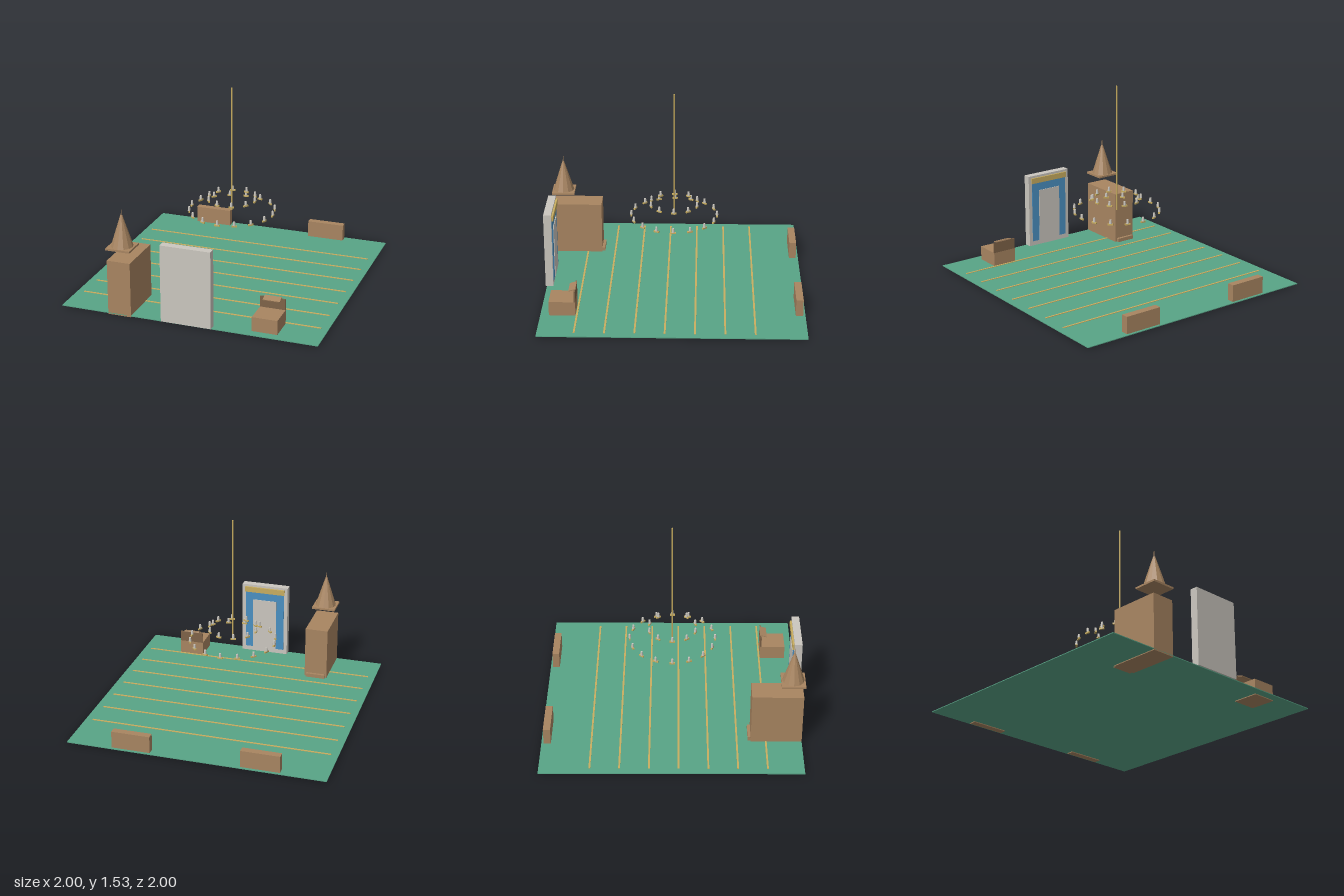
import * as THREE from 'three';

const mat = (name, color, opts = {}) => {
  const m = new THREE.MeshStandardMaterial({ color, ...opts });
  m.name = name;
  return m;
};

export function createModel() {
  const green = mat('green floor', 0x58a486);
  const wood = mat('wood brown', 0xa88561);
  const darkWood = mat('dark wood', 0x7f6348);
  const woodFlat = wood.clone();
  woodFlat.flatShading = true;
  const stone = mat('pale stone', 0xcbc7bf);
  const gold = mat('gold', 0xc9ae60);
  const blue = mat('blue', 0x4a90c2);

  const root = new THREE.Group();
  root.name = 'hall';

  const add = (name, geometry, material, x, y, z, parent = root) => {
    const mesh = new THREE.Mesh(geometry, material);
    mesh.name = name;
    mesh.position.set(x, y, z);
    parent.add(mesh);
    return mesh;
  };
  // box given by its minimum and maximum on each axis
  const box = (name, material, [x0, x1], [y0, y1], [z0, z1], parent = root) =>
    add(name, new THREE.BoxGeometry(x1 - x0, y1 - y0, z1 - z0), material,
      (x0 + x1) / 2, (y0 + y1) / 2, (z0 + z1) / 2, parent);
  const group = (name) => {
    const g = new THREE.Group();
    g.name = name;
    root.add(g);
    return g;
  };

  // floor with seven gold stripes
  box('floor', green, [-1, 1], [0.006, 0.012], [-1, 0.99]);
  for (let i = 0; i < 7; i++) {
    const z = -0.618 + i * 0.2222;
    box('floorStripe', gold, [-0.945, 0.945], [0.012, 0.016], [z - 0.007, z + 0.007]);
  }

  // two low cabinets along the back
  for (const x of [-0.5, 0.497]) {
    box('backCabinet', wood, [x - 0.15, x + 0.15], [0, 0.145], [-0.982, -0.927]);
  }

  // pulpit with step and floating canopy
  const pulpit = group('pulpit');
  box('pulpitBody', wood, [-0.62, -0.437], [0, 0.43], [0.6, 0.99], pulpit);
  box('pulpitStep', wood, [-0.607, -0.452], [0, 0.042], [0.577, 0.6], pulpit);
  box('canopyPlate', wood, [-0.624, -0.434], [0.515, 0.53], [0.818, 1], pulpit);
  add('canopyCone', new THREE.CylinderGeometry(0.008, 0.084, 0.24, 12), woodFlat,
    -0.529, 0.65, 0.909, pulpit);
  add('canopySpire', new THREE.CylinderGeometry(0.002, 0.004, 0.045, 8), wood,
    -0.529, 0.7925, 0.909, pulpit);

  // tall screen, decorated on its inner side
  const screen = group('screen');
  box('screenSlab', stone, [-0.195, 0.195], [0.012, 0.615], [0.94, 1], screen);
  box('bluePanel', blue, [-0.165, 0.165], [0.05, 0.57], [0.936, 0.94], screen);
  box('stonePanel', stone, [-0.1, 0.1], [0.05, 0.485], [0.931, 0.936], screen);
  box('goldBar', gold, [-0.17, 0.17], [0.552, 0.597], [0.926, 0.94], screen);

  // reading platform with board and sloping rest
  const lectern = group('lectern');
  box('lecternBase', wood, [0.482, 0.677], [0, 0.123], [0.725, 0.925], lectern);
  box('lecternBoard', darkWood, [0.482, 0.677], [0.123, 0.208], [0.725, 0.735], lectern);
  const rest = add('lecternRest', new THREE.BoxGeometry(0.13, 0.007, 0.056), wood,
    0.58, 0.207, 0.749, lectern);
  rest.rotation.x = 0.3;

  // hanging chandelier: rod and two rings of lamps
  const chandelier = group('chandelier');
  add('rod', new THREE.CylinderGeometry(0.006, 0.006, 0.99, 8), gold, 0, 1.04, 0, chandelier);
  const holder = new THREE.BoxGeometry(0.042, 0.012, 0.013);
  const lampBody = new THREE.CylinderGeometry(0.008, 0.011, 0.032, 8);
  for (const [count, radius, y] of [[16, 0.333, 0.541], [10, 0.187, 0.638]]) {
    for (let i = 0; i < count; i++) {
      const a = (i / count) * Math.PI * 2;
      const lamp = new THREE.Group();
      lamp.name = 'lamp';
      lamp.position.set(Math.cos(a) * radius, y, Math.sin(a) * radius);
      lamp.rotation.y = Math.PI / 2 - a;
      chandelier.add(lamp);
      add('lampHolder', holder, gold, 0, 0, 0, lamp);
      add('lampBody', lampBody, stone, 0, 0.022, 0, lamp);
    }
  }
  return root;
}
